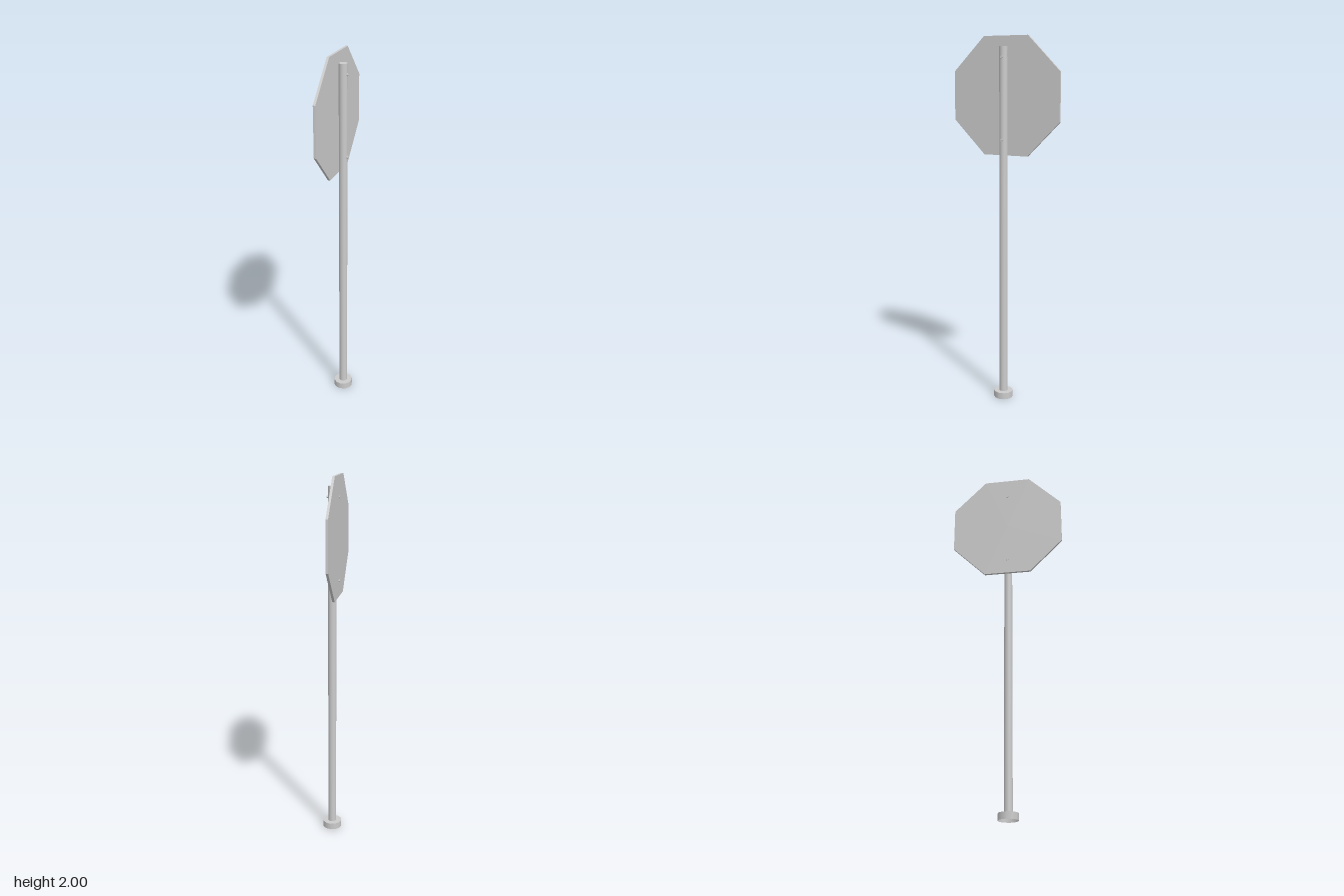
import * as THREE from 'three';

export function createModel() {
  const group = new THREE.Group();
  const grey = new THREE.MeshStandardMaterial({ color: 0xcccccc });
  const openGrey = new THREE.MeshStandardMaterial({ color: 0xcccccc, side: THREE.DoubleSide });
  const flatGrey = new THREE.MeshStandardMaterial({ color: 0xcccccc, flatShading: true });

  function add(name, geometry, material, x, y, z = 0, parent = group) {
    const mesh = new THREE.Mesh(geometry, material);
    mesh.name = name;
    mesh.position.set(x, y, z);
    parent.add(mesh);
    return mesh;
  }

  // Hollow foot, open underneath
  const foot = [[0.053, 0], [0.053, 0.036]].map(p => new THREE.Vector2(...p));
  add('baseWall', new THREE.LatheGeometry(foot, 12), openGrey, 0, 0);
  add('baseTop', new THREE.CircleGeometry(0.053, 12).rotateX(-Math.PI / 2), openGrey, 0, 0.036);

  // Round post
  add('post', new THREE.CylinderGeometry(0.0225, 0.0225, 1.909, 20), grey, 0, 0.036 + 1.909 / 2);

  // Octagonal plate, flat edges up and down, facing sideways
  const half = 0.3135;
  const plate = new THREE.CylinderGeometry(half / Math.cos(Math.PI / 8), half / Math.cos(Math.PI / 8), 0.0125, 8);
  plate.rotateY(Math.PI / 8).rotateZ(Math.PI / 2);
  add('signPlate', plate, flatGrey, -0.0293, 2 - half);

  // Bolts through plate and post: head, shank and nut
  const rod = (radius, length, sides) =>
    new THREE.CylinderGeometry(radius, radius, length, sides).rotateZ(Math.PI / 2);
  for (const y of [1.46, 1.89]) {
    const bolt = new THREE.Group();
    bolt.name = 'bolt';
    bolt.position.y = y;
    add('boltHead', rod(0.0085, 0.004, 6), flatGrey, -0.0372, 0, 0, bolt);
    add('boltShank', rod(0.004, 0.066, 8), grey, -0.004, 0, 0, bolt);
    add('nut', rod(0.0085, 0.005, 6), flatGrey, 0.0228, 0, 0, bolt);
    group.add(bolt);
  }
  return group;
}
